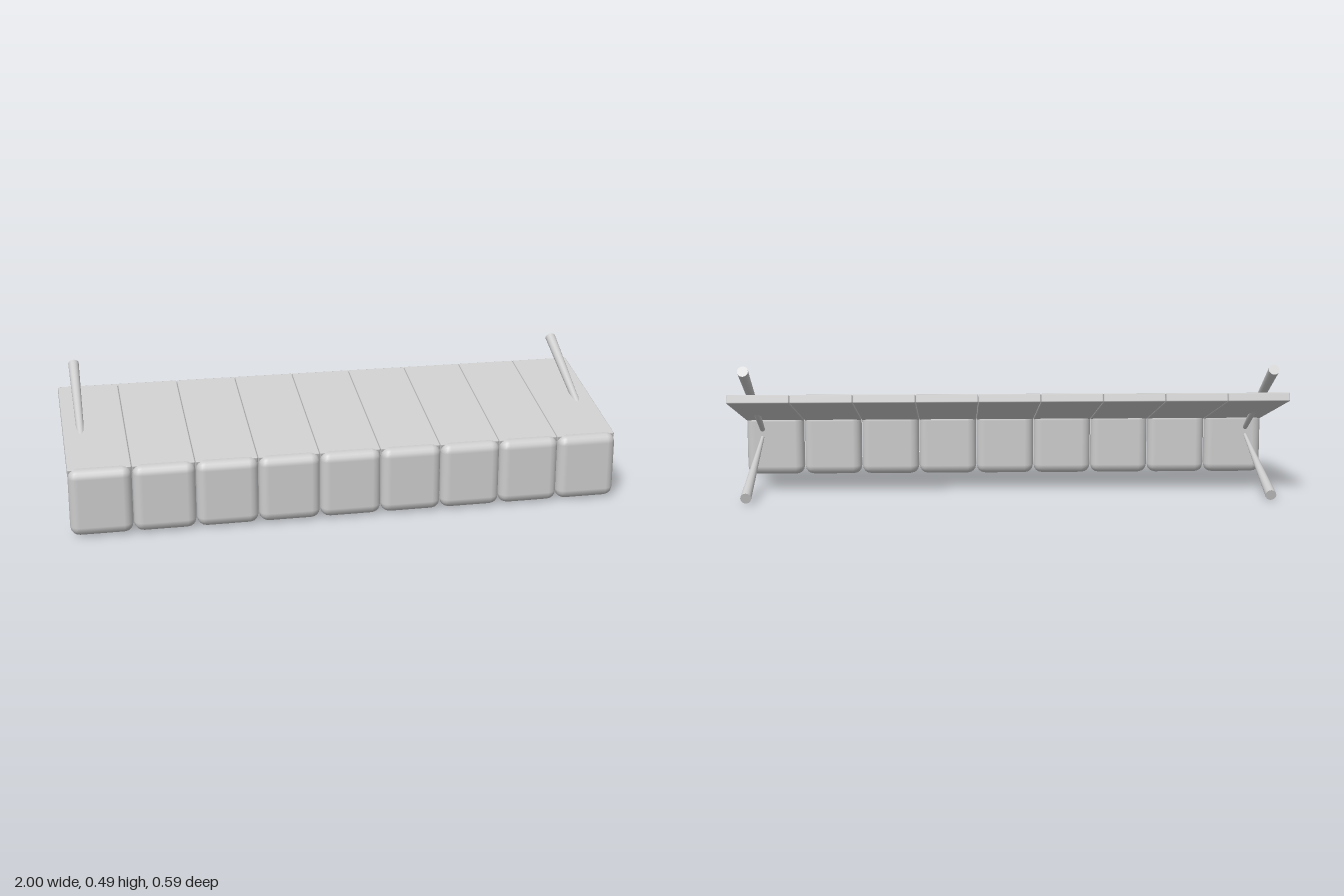
import * as THREE from 'three';
import { RoundedBoxGeometry } from 'three/addons/geometries/RoundedBoxGeometry.js';

export function createModel() {
  const model = new THREE.Group();
  model.name = 'awning';
  const grey = new THREE.MeshStandardMaterial({ color: 0xcccccc });
  grey.name = 'light grey';

  const add = (name, geometry, x, y, z) => {
    const mesh = new THREE.Mesh(geometry, grey);
    mesh.name = name;
    mesh.position.set(x, y, z);
    model.add(mesh);
    return mesh;
  };

  // Nine sloping roof strips, each with a cushion-edged valance flap in front
  const count = 9;
  const pitch = 2 / count;
  const flap = new RoundedBoxGeometry(pitch - 0.002, 0.242, 0.067, 2, 0.0333);
  const strip = new RoundedBoxGeometry(pitch - 0.001, 0.031, 0.558, 1, 0.004);
  for (let i = 0; i < count; i++) {
    const x = (i - (count - 1) / 2) * pitch;
    add('valanceFlap', flap, x, 0.127, 0.2635);
    add('roofStrip', strip, x, 0.302, -0.006).rotation.x = THREE.MathUtils.degToRad(15);
  }

  // Tapered support rods, thin at the valance and thick at the wall
  const rod = (name, from, to, thin, thick) => {
    const direction = to.clone().sub(from);
    const middle = from.clone().add(to).multiplyScalar(0.5);
    const mesh = add(name, new THREE.CylinderGeometry(thick, thin, direction.length(), 16),
      middle.x, middle.y, middle.z);
    mesh.quaternion.setFromUnitVectors(new THREE.Vector3(0, 1, 0), direction.normalize());
  };
  for (const side of [-1, 1]) {
    rod('upperRod', new THREE.Vector3(side * 0.937, 0.177, 0.25),
      new THREE.Vector3(side * 0.937, 0.473, -0.285), 0.009, 0.0195);
    rod('lowerRod', new THREE.Vector3(side * 0.937, 0.16, 0.25),
      new THREE.Vector3(side * 0.937, 0.02, -0.286), 0.006, 0.0195);
  }
  return model;
}
